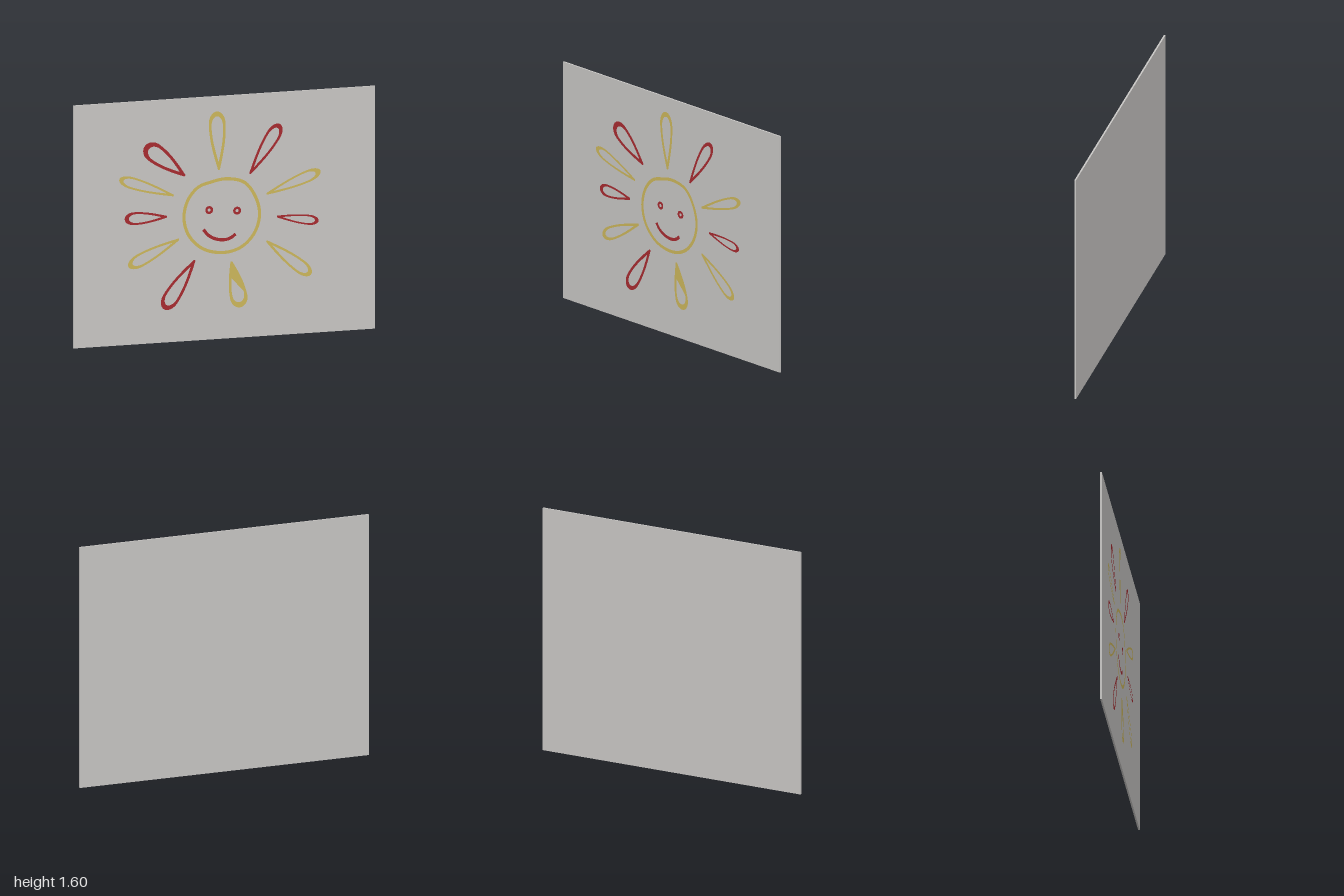
import * as THREE from 'three';

const material = (name, color) => {
  const m = new THREE.MeshStandardMaterial({ color });
  m.name = name;
  return m;
};

const WIDTH = 2, HEIGHT = 1.6, DEPTH = 0.011;

// Teardrop outline between two distances along the tip-to-end axis
function teardrop(tip, end, from, to, halfWidth, tipWidth) {
  const axis = end.clone().sub(tip).normalize();
  const normal = new THREE.Vector2(-axis.y, axis.x);
  const widest = 0.78, left = [], right = [], n = 28;
  for (let i = 0; i <= n; i++) {
    const t = Math.sin((i / n) * Math.PI / 2);
    const w = t < widest
      ? tipWidth + (halfWidth - tipWidth) * Math.sin((t / widest) * Math.PI / 2)
      : halfWidth * Math.sqrt(Math.max(0, 1 - ((t - widest) / (1 - widest)) ** 2));
    const p = tip.clone().addScaledVector(axis, from + (to - from) * t);
    left.push(p.clone().addScaledVector(normal, w));
    if (i < n) right.unshift(p.clone().addScaledVector(normal, -w));
  }
  return [...right.reverse(), ...left.reverse()];
}

// Hollow ray, drawn thicker at its round end
function rayShape(tx, ty, ex, ey, width, stroke) {
  const tip = new THREE.Vector2(tx, ty), end = new THREE.Vector2(ex, ey);
  const length = tip.distanceTo(end);
  const shape = new THREE.Shape(teardrop(tip, end, 0, length, width / 2, 0.006));
  shape.holes.push(new THREE.Path(
    teardrop(tip, end, length * 0.14, length - stroke, width * 0.34, 0.001)));
  return shape;
}

// Painted line of even width along a smooth curve
function strokeShape(points, width, closed) {
  const curve = new THREE.CatmullRomCurve3(
    points.map(([x, y]) => new THREE.Vector3(x, y, 0)), closed);
  const a = [], b = [], n = closed ? 72 : 24;
  for (let i = 0; i < (closed ? n : n + 1); i++) {
    const p = curve.getPoint(i / n), t = curve.getTangent(i / n);
    const h = width / 2;
    a.push(new THREE.Vector2(p.x - t.y * h, p.y + t.x * h));
    b.push(new THREE.Vector2(p.x + t.y * h, p.y - t.x * h));
  }
  if (!closed) return new THREE.Shape([...a, ...b.reverse()]);
  const shape = new THREE.Shape(a);
  shape.holes.push(new THREE.Path(b));
  return shape;
}

export function createModel() {
  const group = new THREE.Group();
  group.name = 'sunPanel';
  const grey = material('panelGrey', 0xc9c7c5);
  const red = material('paintRed', 0xa82b30);
  const yellow = material('paintYellow', 0xcdb75c);
  red.side = yellow.side = THREE.DoubleSide;

  // Flat board
  const panel = new THREE.Mesh(new THREE.BoxGeometry(WIDTH, HEIGHT, DEPTH), grey);
  panel.name = 'panel';
  panel.position.y = HEIGHT / 2;
  group.add(panel);

  // Painted pieces lie just in front of the board
  const paint = (name, shape, mat) => {
    const mesh = new THREE.Mesh(new THREE.ShapeGeometry(shape, 20), mat);
    mesh.name = name;
    mesh.position.z = DEPTH / 2 + 0.001;
    group.add(mesh);
  };

  // Rays: tip x, y, round end x, y, width, end stroke
  const yellowRays = [
    [-0.035, 1.115, -0.05, 1.5, 0.112, 0.032],
    [0.28, 0.935, 0.638, 1.065, 0.08, 0.035],
    [0.28, 0.625, 0.575, 0.385, 0.09, 0.03],
    [0.047, 0.505, 0.11, 0.2, 0.115, 0.035],
    [-0.3, 0.675, -0.635, 0.515, 0.09, 0.032],
    [-0.335, 0.965, -0.695, 1.095, 0.078, 0.03],
  ];
  const redRays = [
    [0.17, 1.075, 0.37, 1.39, 0.098, 0.03],
    [0.35, 0.782, 0.625, 0.735, 0.066, 0.025],
    [-0.195, 0.53, -0.4, 0.22, 0.112, 0.032],
    [-0.38, 0.828, -0.66, 0.83, 0.085, 0.028],
    [-0.26, 1.09, -0.525, 1.305, 0.125, 0.035],
  ];
  yellowRays.forEach((r, i) => paint(`yellowRay${i + 1}`, rayShape(...r), yellow));
  redRays.forEach((r, i) => paint(`redRay${i + 1}`, rayShape(...r), red));

  // Hand-drawn face outline
  paint('faceOutline', strokeShape([
    [0.01, 1.053], [0.128, 1.025], [0.198, 0.94], [0.234, 0.813], [0.203, 0.69],
    [0.118, 0.6], [0, 0.568], [-0.139, 0.6], [-0.235, 0.695], [-0.267, 0.813],
    [-0.24, 0.93], [-0.171, 1.01], [-0.086, 1.038],
  ], 0.021, true), yellow);

  // Ring eyes
  [[-0.1, 0.854, 'rightEye'], [0.085, 0.838, 'leftEye']].forEach(([x, y, name]) => {
    const eye = new THREE.Shape().absarc(x, y, 0.026, 0, Math.PI * 2);
    eye.holes.push(new THREE.Path().absarc(x, y, 0.01, 0, Math.PI * 2, true));
    paint(name, eye, red);
  });

  // Smile
  paint('smile', strokeShape([
    [-0.138, 0.728], [-0.107, 0.69], [-0.06, 0.662], [0, 0.652], [0.043, 0.662], [0.075, 0.685],
  ], 0.021, false), red);

  return group;
}
